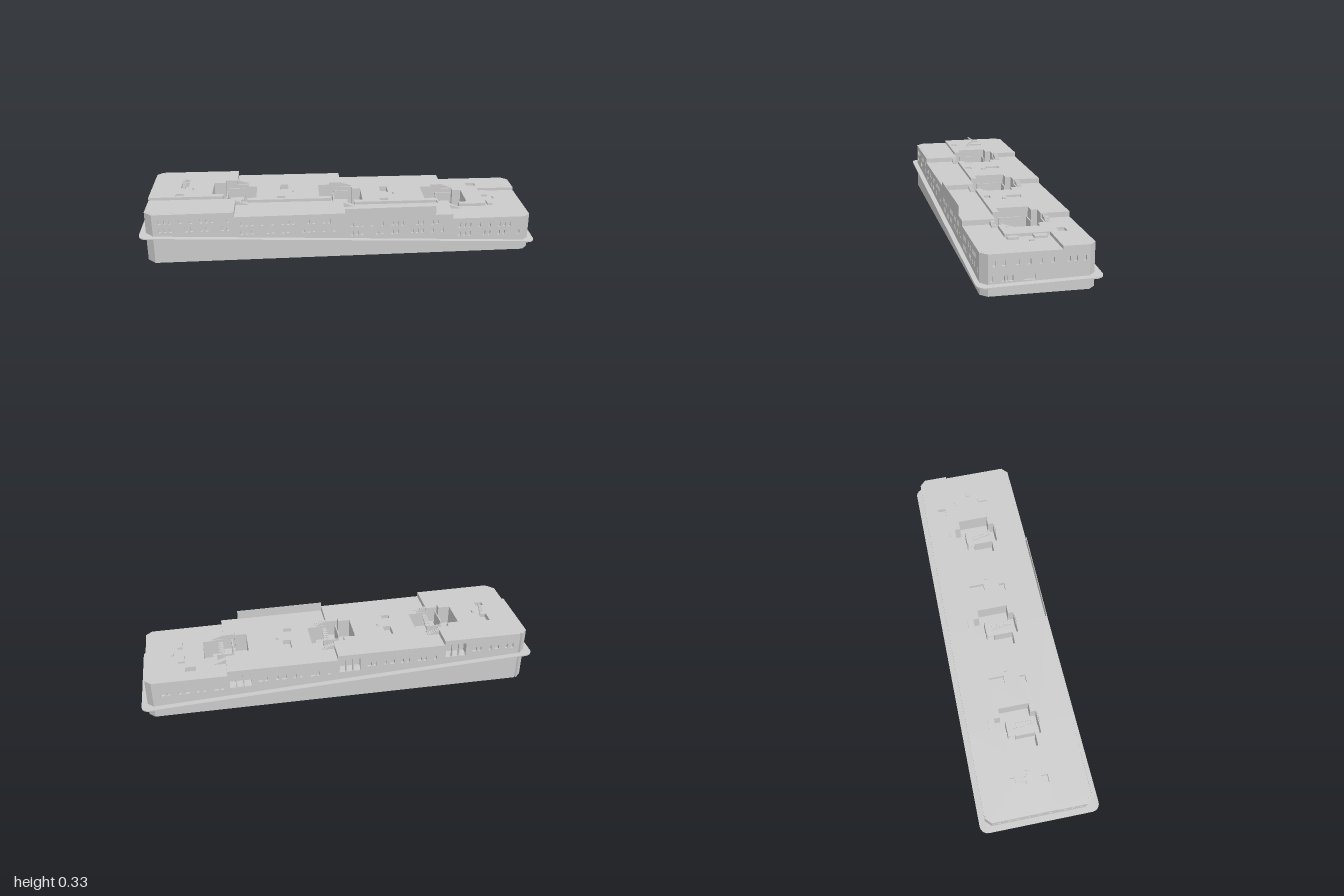
import * as THREE from 'three';

const T = 0.012;                              // facade thickness
const X = [-0.97, -0.53, 0.02, 0.57, 0.97];   // limits of the four terraces
const HI = [0.275, 0.25, 0.225, 0.2];         // roof levels, rear part
const LO = HI.map(h => h - 0.015);            // roof levels, front strip
const frontZ = x => 0.27 - 0.04 * (x + 0.93) / 1.87;
const walkY = (x, z) => 0.102 - 0.05 * x - 0.02 * z;

export function createModel() {
  const root = new THREE.Group();
  const mat = new THREE.MeshStandardMaterial({ color: 0xcccccc, flatShading: true, side: THREE.DoubleSide });

  const add = (name, geo) => {
    const m = new THREE.Mesh(geo, mat);
    m.name = name;
    root.add(m);
    return m;
  };
  const box = (name, w, h, d, x, y, z) => add(name, new THREE.BoxGeometry(w, h, d).translate(x, y, z));
  const rect = (x, y, w, h) => new THREE.Path([[x, y], [x + w, y], [x + w, y + h], [x, y + h]].map(p => new THREE.Vector2(...p)));
  const plan = pts => pts.map(([x, z]) => new THREE.Vector2(x, -z));

  // Upright prism over a floor plan of [x, z] points
  const prism = (pts, y0, y1, holes = []) => {
    const s = new THREE.Shape(plan(pts));
    s.holes = holes.map(h => new THREE.Path(plan(h)));
    return new THREE.ExtrudeGeometry(s, { depth: y1 - y0, bevelEnabled: false })
      .rotateX(-Math.PI / 2).translate(0, y0, 0);
  };

  // Facade panel from a to b with openings [u, y, w, h]
  const wall = (name, a, b, top, openings = [], bottom = 0, thick = T) => {
    const dx = b[0] - a[0], dz = b[1] - a[1], len = Math.hypot(dx, dz);
    const s = new THREE.Shape(rect(0, bottom, len, top - bottom).getPoints());
    s.holes = openings.filter(o => o[0] > 0.004 && o[0] + o[2] < len - 0.004).map(o => rect(...o));
    const m = add(name, new THREE.ExtrudeGeometry(s, { depth: thick, bevelEnabled: false }).translate(0, 0, -thick));
    m.position.set(a[0], 0, a[1]);
    m.rotation.y = Math.atan2(-dz, dx);
  };

  // Half outline of a courtyard beside the terrace limit b; s = -1 left, 1 right
  const court = (b, s) => {
    const w = s < 0 ? 0.12 : 0.105;
    return [[0, -0.13], [0.06, -0.13], [0.06, -0.1], [w, -0.1], [w, 0.055], [0.06, 0.055], [0.06, 0.085]]
      .map(([u, z]) => [b + s * u, z]);
  };

  // Floor plan of the rear part of terrace i
  const rearPlan = (i, withCourt, withPorch) => {
    const L = X[i], R = X[i + 1], back = -0.27 + T;
    const pts = i === 0 ? [[-0.958, -0.235], [-0.935, back]] : [[L, back]];
    if (i === 3) pts.push([0.935, back], [0.958, -0.235], [0.958, -0.12], [0.77, -0.12], [0.77, 0.085]);
    else {
      pts.push(...(withPorch ? [[R - 0.12, back], [R - 0.12, -0.215], [R, -0.215]] : [[R, back]]));
      pts.push(...(withCourt ? court(R, -1) : [[R, 0.085]]));
    }
    if (i === 0) pts.push([-0.958, 0.085]);
    else pts.push(...(withCourt ? court(L, 1).reverse() : [[L, 0.085]]));
    return pts;
  };

  // Floor plan of the front strip of terrace i
  const frontPlan = i => [
    ...(i === 0 ? [[-0.958, 0.085], [-0.958, 0.225], [-0.925, 0.257]] : [[X[i], 0.085], [X[i], frontZ(X[i]) - T]]),
    ...(i === 3 ? [[0.935, 0.218], [0.958, 0.195], [0.958, -0.12], [0.77, -0.12], [0.77, 0.085]]
      : [[X[i + 1], frontZ(X[i + 1]) - T], [X[i + 1], 0.085]])
  ];

  // Terraced building core with courtyards, rear porches and roof lights
  const lights = [-0.8, -0.28, 0.25, 0.79];
  for (let i = 0; i < 4; i++) {
    const h = HI[i], c = lights[i];
    const hole = (x, z, w, d) => [[x, z], [x + w, z], [x + w, z + d], [x, z + d]];
    add('lowerStorey', prism(rearPlan(i, false, false), 0, h - 0.1));
    add('upperStorey', prism(rearPlan(i, true, true), h - 0.1, h - 0.025));
    add('rearRoof', prism(rearPlan(i, true, false), h - 0.025, h, i < 3
      ? [hole(c - 0.02, -0.115, 0.04, 0.075), hole(c - 0.035, 0.04, 0.04, 0.03)]
      : [hole(c - 0.07, -0.2, 0.05, 0.04)]));
    add('frontStrip', prism(frontPlan(i), 0, LO[i]));
    box('roofVent', 0.01, 0.008, 0.02, c + 0.045, h + (i === 3 ? -0.011 : 0.004), -0.02);
  }
  box('roofHatch', 0.035, 0.012, 0.06, 0.79, 0.19, -0.07);
  box('roofHatch', 0.025, 0.012, 0.05, 0.795, 0.19, 0.055);

  // Long facades
  for (let i = 0; i < 4; i++) {
    const x0 = i === 0 ? -0.93 : X[i], x1 = i === 3 ? 0.94 : X[i + 1];
    const front = [], rear = [];
    for (let k = 0, u = 0.03; u < x1 - x0 - 0.03; k++, u += k % 3 ? 0.026 : 0.05) {
      const ground = walkY(x0 + u, 0.26) + 0.012;
      [0.04, 0.085, 0.13].forEach((d, r) => {
        if (LO[i] - d - 0.012 > ground && (k + r) % 5 !== 4) front.push([u, LO[i] - d - 0.012, 0.012, 0.024]);
      });
    }
    const start = i < 3 ? 0.15 : 0.04;
    for (let k = 0, u = start; u < x1 - x0 - 0.03; k++, u += k % 2 ? 0.032 : 0.055)
      rear.push([u, HI[i] - 0.08, k % 3 ? 0.014 : 0.022, 0.024]);
    // Porch bays between slim piers
    if (i < 3) for (const [u, w] of [[0.008, 0.03], [0.044, 0.03], [0.08, 0.034]]) rear.push([u, HI[i] - 0.098, w, 0.072]);
    wall('frontFacade', [x0, frontZ(x0)], [x1, frontZ(x1)], LO[i], front);
    wall('rearFacade', [x1, -0.27], [x0, -0.27], HI[i], rear);
  }

  // End facades and cut corners
  const low = [[0.19, 0.012], [0.14, 0.012], [0.124, 0.01], [0.11, 0.018], [0.045, 0.05]];
  wall('leftEndFacade', [0.97, 0.2], [0.97, -0.12], LO[3], [
    ...low.map(([z, w]) => [0.2 - z, 0.062, w, 0.026]),
    ...[0.02, 0.06, 0.12, 0.17, 0.22, 0.27].map(u => [u, 0.13, 0.014, 0.024])]);
  wall('leftEndFacade', [0.97, -0.12], [0.97, -0.24], HI[3], [0.02, 0.05, 0.09].map(u => [u, 0.13, 0.014, 0.024]));
  wall('rightEndFacade', [-0.97, -0.24], [-0.97, 0.085], HI[0], [0.03, 0.08, 0.12, 0.18, 0.23, 0.28].map(u => [u, 0.2, 0.016, 0.028]));
  wall('rightEndFacade', [-0.97, 0.085], [-0.97, 0.23], LO[0], [0.03, 0.07, 0.11].map(u => [u, 0.2, 0.016, 0.028]));
  wall('cornerWall', [0.94, 0.23], [0.97, 0.2], LO[3]);
  wall('cornerWall', [0.97, -0.24], [0.94, -0.27], HI[3]);
  wall('cornerWall', [-0.94, -0.27], [-0.97, -0.24], HI[0]);
  wall('cornerWall', [-0.97, 0.23], [-0.93, 0.27], LO[0]);

  // Tall thin screen on the front edge
  wall('frontScreen', [0.02, frontZ(0.02)], [0.48, frontZ(0.48)], 0.258, [], 0.2, 0.003);

  // Roof steps leading from each terrace to the next
  for (let i = 0; i < 3; i++)
    for (let k = 0; k < 6; k++) {
      const h = 0.025 * (6 - k) / 7, x = X[i + 1] + 0.005 + k * 0.01;
      box('rearRoofStep', 0.01, h, 0.025, x, HI[i + 1] + h / 2, -0.15);
      box('frontRoofStep', 0.01, h, 0.022, x, LO[i + 1] + h / 2, 0.1);
    }

  // Open stair flights running along z
  const flight = (x, z0, y0, z1, y1, w = 0.016, n = 8) => {
    for (let k = 0; k < n; k++) {
      const f = (k + 0.5) / n;
      box('stairTread', w, Math.abs(y1 - y0) / n + 0.002, Math.abs(z1 - z0) / n, x, y0 + (y1 - y0) * f, z0 + (z1 - z0) * f);
    }
  };
  flight(-0.802, -0.03, 0.276, -0.07, 0.3);
  flight(-0.784, -0.07, 0.3, -0.03, 0.325);
  box('stairLanding', 0.036, 0.004, 0.022, -0.793, 0.3, -0.08);

  // Courtyard stairs and stair walls
  for (let i = 0; i < 3; i++) {
    const b = X[i + 1], f = HI[i + 1] - 0.1, mid = f + 0.05;
    flight(b - 0.02, 0.06, f + 0.02, -0.04, mid, 0.025);
    flight(b + 0.015, -0.04, mid, 0.06, LO[i + 1], 0.025);
    box('stairLanding', 0.07, 0.005, 0.03, b, mid, -0.055);
    box('stairWall', 0.006, 0.1, 0.1, b - 0.045, f + 0.05, 0.01);
    box('stairWall', 0.08, 0.1, 0.006, b, f + 0.05, -0.075);
  }

  // Sloping pavement around the building, with rounded corners
  const outer = [];
  for (const [x, z, start] of [[0.96, 0.21, 0], [-0.96, 0.258, 1], [-0.96, -0.26, 2], [0.96, -0.26, 3]])
    for (let k = 0; k <= 5; k++) {
      const a = (start + k / 5) * Math.PI / 2;
      outer.push([x + 0.04 * Math.cos(a), z + 0.04 * Math.sin(a)]);
    }
  const inner = [[-0.969, -0.24], [-0.94, -0.269], [0.94, -0.269], [0.969, -0.24], [0.969, 0.2], [0.94, 0.229], [-0.93, 0.269], [-0.969, 0.23]];
  const walk = prism(outer, -0.003, 0.003, [inner]);
  const p = walk.attributes.position;
  for (let i = 0; i < p.count; i++) p.setY(i, p.getY(i) + walkY(p.getX(i), p.getZ(i)));
  walk.computeVertexNormals();
  add('pavement', walk);

  return root;
}
